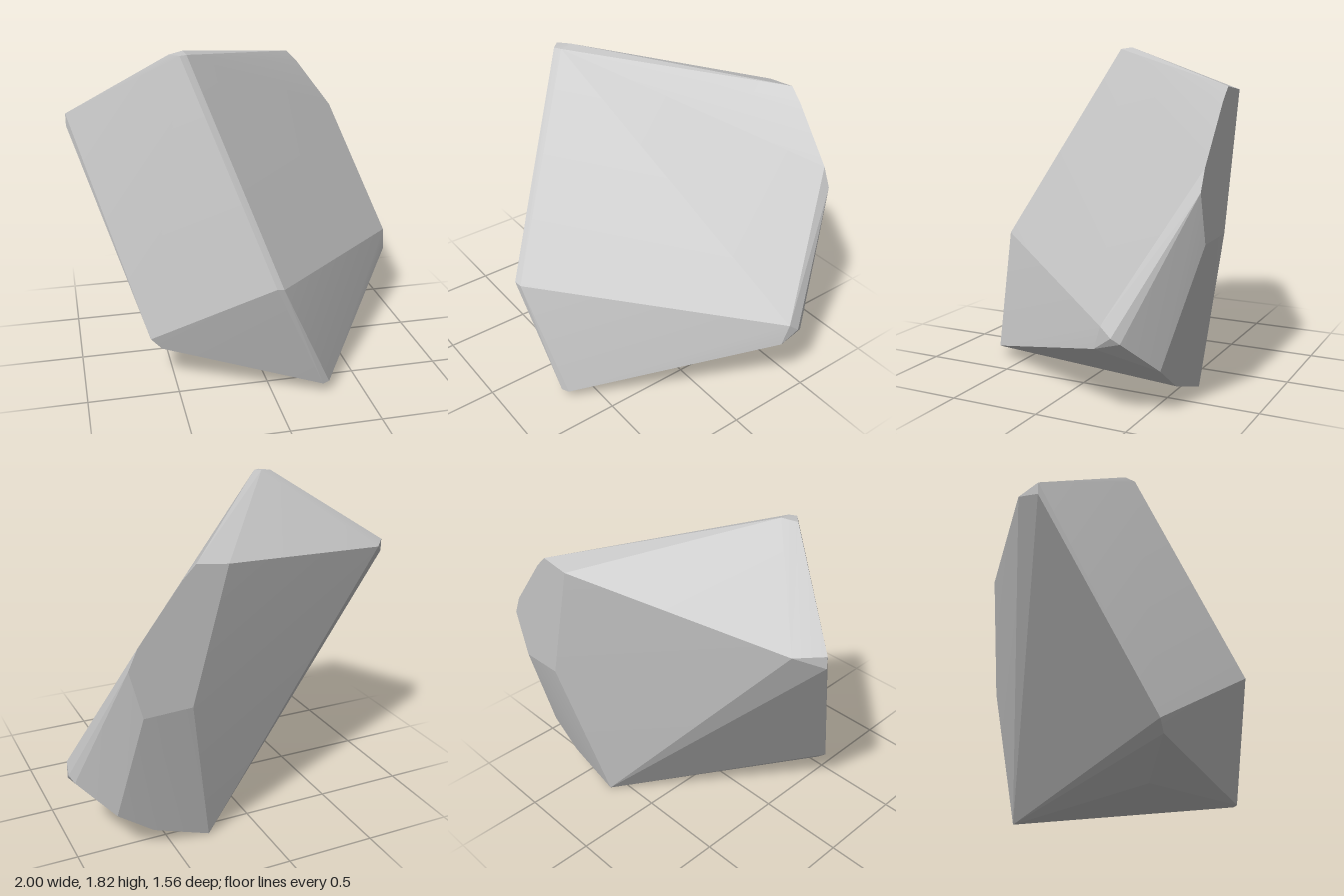
import * as THREE from 'three';
import { ConvexGeometry } from 'three/addons/geometries/ConvexGeometry.js';
import { toCreasedNormals } from 'three/addons/utils/BufferGeometryUtils.js';

// Corners of the boulder; the close pairs make narrow worn bevels.
const corners = {
  peak: [[-0.46, 1.81, 0.17], [-0.41, 1.81, 0.22], [-0.37, 1.81, 0.2], [-0.38, 1.82, 0.13]],
  rightShoulder: [[-1, 1.43, -0.21], [-1, 1.36, -0.21], [-0.89, 1.43, -0.34]],
  nose: [[-0.02, 0.7, 0.78], [0.02, 0.69, 0.77]],
  frontFoot: [[0.27, 0.06, 0.69], [0.31, 0.06, 0.67]],
  rightFoot: [[-0.63, 0.26, 0.35], [-0.57, 0.2, 0.36]],
  underside: [[-0.22, 0.06, 0.25], [0.28, 0, -0.59], [0.6, 0.11, -0.59], [0.8, 0.25, -0.59]],
  leftShoulder: [[0.98, 0.38, -0.32], [1, 0.45, -0.42], [0.99, 0.5, -0.36], [0.98, 0.42, -0.46]],
};

// Outline of the flat cut at the back, as x and y.
const backCut = [[0.26, 1.6], [0.43, 1.62], [0.5, 1.55], [0.73, 1.25], [0.78, 1.14], [0.71, 0.88], [0.45, 0.89]];

export function createModel() {
  const group = new THREE.Group();
  group.name = 'boulder';
  const stone = new THREE.MeshStandardMaterial({ color: 0xc6c6c6 });
  stone.name = 'pale grey stone';

  const points = [
    ...Object.values(corners).flat(),
    ...backCut.map(([x, y]) => [x, y, -0.78]),
  ].map((p) => new THREE.Vector3(...p));

  // Wrap the corners, softening only the shallowest edges.
  const geometry = toCreasedNormals(new ConvexGeometry(points), 0.2);
  const rock = new THREE.Mesh(geometry, stone);
  rock.name = 'rock';
  group.add(rock);
  return group;
}
